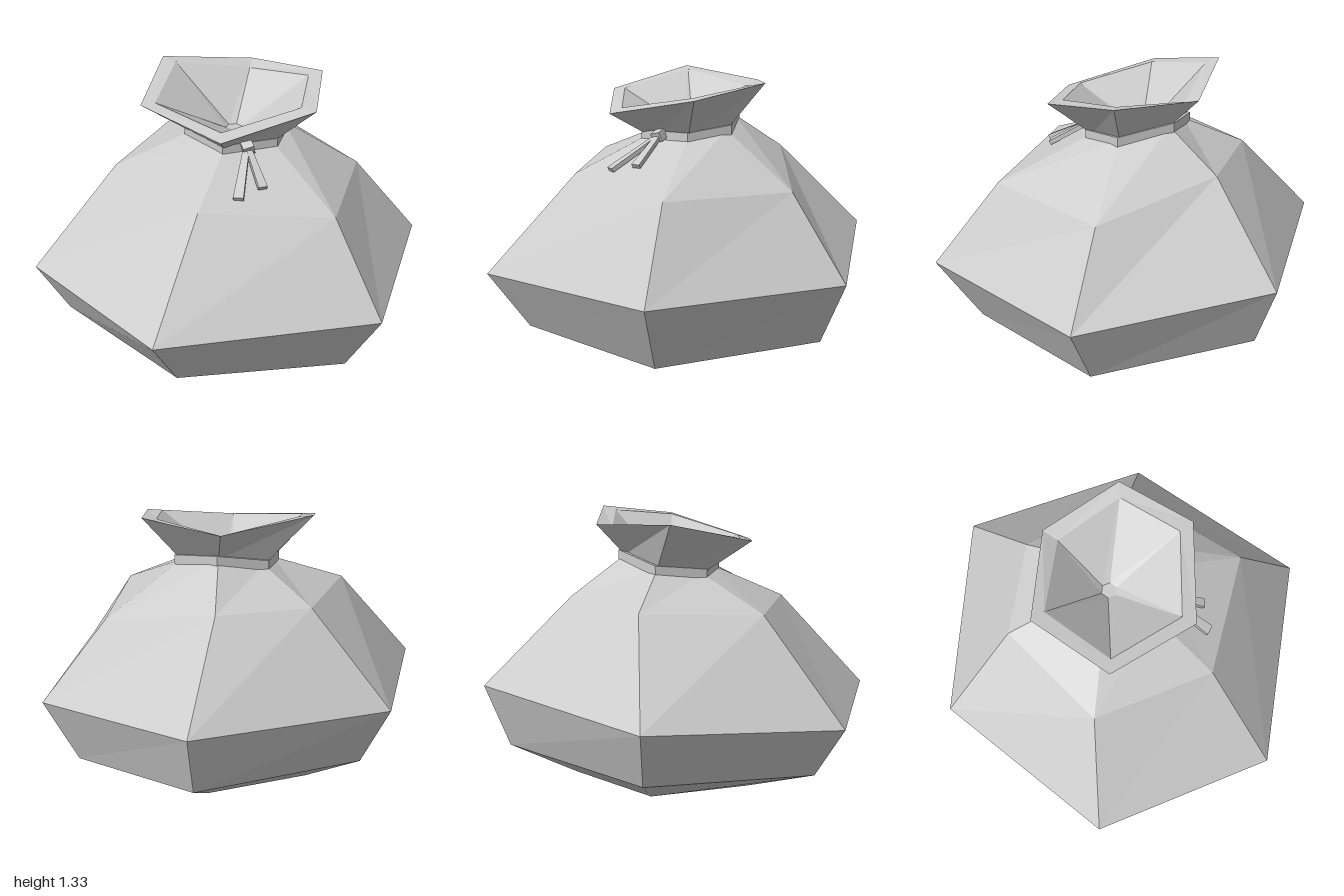
import * as THREE from 'three';

const material = new THREE.MeshStandardMaterial({ color: 0xcccccc, flatShading: true });
const V = (x, y, z) => new THREE.Vector3(x, y, z);

// Skins a stack of equal-sized rings, each running counterclockwise seen from above
function loft(name, rings, capEnds) {
  const pos = [];
  const tri = (...pts) => pts.forEach((p) => pos.push(...p));
  const n = rings[0].length;
  for (let r = 0; r < rings.length - 1; r++) {
    for (let k = 0; k < n; k++) {
      const j = (k + 1) % n;
      const [a, b, c, d] = [rings[r][k], rings[r][j], rings[r + 1][j], rings[r + 1][k]];
      tri(a, b, c);
      tri(a, c, d);
    }
  }
  if (capEnds) {
    const first = rings[0], last = rings[rings.length - 1];
    for (let k = 1; k < n - 1; k++) {
      tri(first[0], first[k + 1], first[k]);
      tri(last[0], last[k], last[k + 1]);
    }
  }
  const geo = new THREE.BufferGeometry();
  geo.setAttribute('position', new THREE.Float32BufferAttribute(pos, 3));
  geo.computeVertexNormals();
  const mesh = new THREE.Mesh(geo, material);
  mesh.name = name;
  return mesh;
}

// Tilted outline of the tie; the neck is the same outline drawn in a little
const tie = [[0.01, 1.025, 0.22], [0.24, 1.03, 0.06], [0.24, 1.06, -0.17],
  [0, 1.11, -0.31], [-0.23, 1.065, -0.19], [-0.24, 1.035, 0.07]];
const tieRing = (scale, dy) => tie.map(([x, y, z]) => [x * scale, y + dy, -0.05 + (z + 0.05) * scale]);

// Uneven six-sided rings: front, front left, back left, back, back right, front right
const base = [[0, 0, 0.45], [0.42, 0, 0.2], [0.41, 0, -0.3], [0, 0, -0.55], [-0.44, 0, -0.28], [-0.45, 0, 0.21]];
const lower = [[-0.03, 0.085, 0.8], [0.69, 0.045, 0.38], [0.68, 0.08, -0.46],
  [0, 0.18, -0.88], [-0.72, 0.17, -0.4], [-0.75, 0.14, 0.44]];
const belly = [[-0.07, 0.36, 1], [0.88, 0.38, 0.49], [0.84, 0.395, -0.51],
  [0, 0.5, -1], [-0.86, 0.47, -0.45], [-0.88, 0.4, 0.53]];
const shoulder = [[0, 0.85, 0.56], [0.6, 0.8, 0.31], [0.55, 0.795, -0.36],
  [-0.04, 0.93, -0.56], [-0.46, 0.92, -0.34], [-0.54, 0.89, 0.25]];
const rim = [[0.06, 1.145, 0.4], [0.44, 1.235, 0.1], [0.37, 1.3, -0.29],
  [-0.04, 1.275, -0.43], [-0.44, 1.325, -0.18], [-0.4, 1.22, 0.24]];
const mouth = [[0.04, 1.17, 0.33], [0.36, 1.24, 0.08], [0.31, 1.285, -0.24],
  [-0.03, 1.25, -0.35], [-0.365, 1.31, -0.16], [-0.34, 1.225, 0.2]];
const funnel = tie.map((_, k) => {
  const a = (k * Math.PI) / 3;
  return [-0.02 + 0.04 * Math.sin(a), 1.04, -0.055 + 0.04 * Math.cos(a)];
});

// Flat cord end, widening from the knot to its tip
function cordEnd(name, from, to, width) {
  const dir = to.clone().sub(from);
  const geo = new THREE.BoxGeometry(width, 0.022, dir.length());
  const p = geo.attributes.position;
  for (let i = 0; i < p.count; i++) if (p.getZ(i) < 0) p.setX(i, p.getX(i) * 0.6);
  geo.computeVertexNormals();
  const mesh = new THREE.Mesh(geo, material);
  mesh.name = name;
  mesh.position.copy(from).add(to).multiplyScalar(0.5);
  mesh.lookAt(to);
  return mesh;
}

export function createModel() {
  const model = new THREE.Group();
  model.name = 'tiedSack';

  // Sack from the base up over the rim and down inside the mouth
  model.add(loft('sack', [base, lower, belly, shoulder, tieRing(0.88, 0), rim, mouth, funnel], true));

  // Closed band around the neck
  model.add(loft('tieBand', [tieRing(0.8, -0.027), tieRing(1, -0.027), tieRing(1, 0.027),
    tieRing(0.8, 0.027), tieRing(0.8, -0.027)], false));

  // Knot and two loose cord ends
  const knot = new THREE.Mesh(new THREE.BoxGeometry(0.055, 0.05, 0.05), material);
  knot.name = 'knot';
  knot.position.set(0.12, 1.035, 0.165);
  knot.rotation.set(0.45, 0.6, 0);
  model.add(knot);
  model.add(cordEnd('longCordEnd', V(0.115, 1.03, 0.17), V(0.155, 0.885, 0.425), 0.05));
  model.add(cordEnd('shortCordEnd', V(0.125, 1.03, 0.17), V(0.245, 0.91, 0.325), 0.045));
  return model;
}
